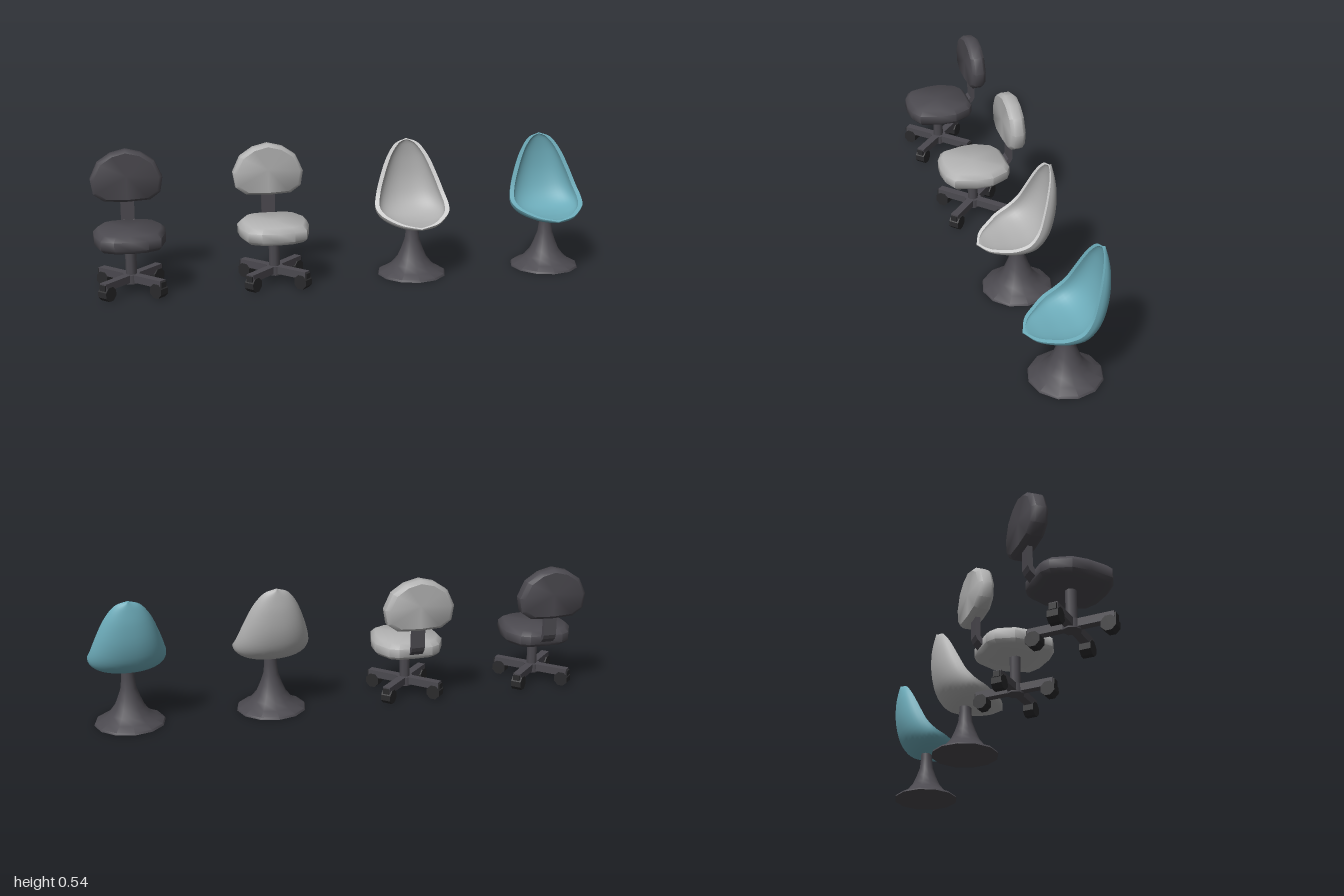
import * as THREE from 'three';
import { toCreasedNormals } from 'three/addons/utils/BufferGeometryUtils.js';

const mat = (name, color, side = THREE.FrontSide) => {
  const m = new THREE.MeshStandardMaterial({ color, side });
  m.name = name;
  return m;
};

function add(parent, name, geometry, material) {
  const mesh = new THREE.Mesh(geometry, material);
  mesh.name = name;
  parent.add(mesh);
  return mesh;
}

// Surface through rows of points; flip turns the faces over
function grid(rows, flip) {
  const n = rows[0].length, index = [];
  for (let i = 0; i < rows.length - 1; i++) {
    for (let j = 0; j < n - 1; j++) {
      const a = i * n + j, b = a + n, c = a + 1, d = b + 1;
      index.push(...(flip ? [a, c, b, c, d, b] : [a, b, c, c, b, d]));
    }
  }
  const g = new THREE.BufferGeometry();
  g.setAttribute('position', new THREE.Float32BufferAttribute(rows.flat().flatMap(p => [p.x, p.y, p.z]), 3));
  g.setIndex(index);
  g.computeVertexNormals();
  return g;
}

// Padded cushion: a mirrored half outline stacked at [height, scale] levels
function cushion(half, levels, centre = 0) {
  const ring = [...half, ...half.slice(0, -1).reverse().map(([x, z]) => [-x, z])];
  const closed = [[levels[0][0], 0], ...levels, [levels[levels.length - 1][0], 0]];
  const rows = closed.map(([h, s]) =>
    ring.map(([x, z]) => new THREE.Vector3(x * s, h, centre + (z - centre) * s)));
  return toCreasedNormals(grid(rows, true), 0.85);
}

const SEAT = [[0, 0.16], [0.065, 0.153], [0.115, 0.128], [0.138, 0.04], [0.14, -0.03], [0.105, -0.1], [0.07, -0.12], [0, -0.122]];
const BACK = [[0, 0.105], [0.09, 0.1], [0.132, 0.07], [0.142, 0.01], [0.112, -0.055], [0.06, -0.09], [0, -0.105]];

function swivelChair(fabric, metal, black) {
  const chair = new THREE.Group();
  add(chair, 'seatCushion', cushion(SEAT, [[0.19, 0.9], [0.204, 1], [0.238, 1], [0.257, 0.87]], 0.02), fabric);
  const back = cushion(BACK, [[-0.172, 0.88], [-0.157, 1], [-0.122, 1], [-0.109, 0.9]]);
  add(chair, 'backCushion', back.rotateX(Math.PI / 2).translate(0, 0.43, 0), fabric);

  // Bent bar joining the seat and the back, drawn in (z, y)
  const bar = new THREE.Shape([
    [-0.06, 0.197], [-0.115, 0.206], [-0.14, 0.232], [-0.148, 0.25], [-0.148, 0.38],
    [-0.129, 0.38], [-0.129, 0.25], [-0.112, 0.228], [-0.06, 0.225],
  ].map(([z, y]) => new THREE.Vector2(-z, y)));
  const barGeo = new THREE.ExtrudeGeometry(bar, { depth: 0.054, bevelEnabled: false });
  add(chair, 'backBar', barGeo.translate(0, 0, -0.027).rotateY(Math.PI / 2), metal);

  const base = new THREE.Group();
  base.name = 'swivelBase';
  base.position.z = 0.02;
  chair.add(base);
  add(base, 'post', new THREE.CylinderGeometry(0.022, 0.022, 0.15, 8).translate(0, 0.12, 0), metal);
  add(base, 'hub', new THREE.CylinderGeometry(0.034, 0.034, 0.036, 8).translate(0, 0.055, 0), metal);

  // Four diagonal legs, each with a caster
  for (let i = 0; i < 4; i++) {
    const leg = new THREE.Group();
    leg.name = 'leg';
    leg.rotation.y = Math.PI / 4 + i * Math.PI / 2;
    base.add(leg);
    add(leg, 'legBar', new THREE.BoxGeometry(0.15, 0.03, 0.032).translate(0.085, 0.058, 0), metal);
    add(leg, 'casterCap', new THREE.BoxGeometry(0.036, 0.022, 0.028).translate(0.148, 0.056, 0), black);
    const wheel = new THREE.CylinderGeometry(0.03, 0.03, 0.042, 8).rotateY(Math.PI / 8).rotateX(Math.PI / 2);
    add(leg, 'casterWheel', toCreasedNormals(wheel.translate(0.14, 0.029, 0), 0.3), black);
  }
  return chair;
}

// Right half of the egg's rim, and the outer midline behind it, from top to front
const curve = pts => new THREE.CatmullRomCurve3(pts.map(p => new THREE.Vector3(...p)));
const RIM = curve([
  [0, 0.536, -0.117], [0.045, 0.52, -0.11], [0.085, 0.47, -0.092], [0.12, 0.39, -0.064], [0.142, 0.325, -0.036],
  [0.152, 0.286, 0], [0.142, 0.264, 0.05], [0.114, 0.25, 0.092], [0.07, 0.238, 0.14], [0, 0.23, 0.17]]);
const SPINE = curve([
  [0, 0.536, -0.126], [0, 0.5, -0.133], [0, 0.44, -0.139], [0, 0.35, -0.131], [0, 0.27, -0.1],
  [0, 0.225, -0.05], [0, 0.212, 0.015], [0, 0.211, 0.08], [0, 0.216, 0.135], [0, 0.226, 0.171]]);

function shellRows(inner) {
  const rows = [], N = 36, M = 20, thick = 0.015;
  for (let i = 0; i <= N; i++) {
    const u = i / N, v = inner ? 0.035 + 0.93 * u : u;
    const w = Math.max(0, RIM.getPoint(u).x) * (inner ? 0.88 : 1);
    const mid = RIM.getPoint(v).setX(0);
    const deep = SPINE.getPoint(v).sub(mid);
    if (inner) deep.multiplyScalar(Math.max(0, 1 - thick / deep.length()));
    const row = [];
    for (let j = 0; j <= M; j++) {
      const t = Math.PI * j / M, c = Math.cos(t);
      const p = mid.clone().addScaledVector(deep, Math.pow(Math.max(0, Math.sin(t)), 0.9));
      row.push(p.setX(w * Math.sign(c) * Math.pow(Math.abs(c), 0.9)));
    }
    rows.push(row);
  }
  return rows;
}

function eggChair(shell, rim, metal) {
  const chair = new THREE.Group();
  const outer = shellRows(false), inner = shellRows(true);
  add(chair, 'shellOutside', grid(outer, false), shell);
  add(chair, 'shellInside', grid(inner, true), shell);

  // Lip running round the opening between the two skins
  const loop = rows => [...rows.map(r => r[0]), ...rows.map(r => r[r.length - 1]).reverse()];
  const a = loop(outer), b = loop(inner);
  const lip = a.map((p, i) => [p, b[i]]);
  add(chair, 'shellRim', grid([...lip, lip[0]], true), rim);

  // Flared pedestal
  const profile = [[0, 0], [0.14, 0], [0.136, 0.008], [0.104, 0.022], [0.08, 0.044], [0.06, 0.07],
    [0.045, 0.105], [0.031, 0.145], [0.026, 0.19], [0.025, 0.222]].map(p => new THREE.Vector2(...p));
  const pedestal = toCreasedNormals(new THREE.LatheGeometry(profile, 12), 0.7);
  add(chair, 'pedestal', pedestal.translate(0, 0, 0.005), metal);
  return chair;
}

export function createModel() {
  const metal = mat('darkGrey', 0x4b494f);
  const black = mat('black', 0x2a2a2c);
  const grey = mat('lightGrey', 0xb2b2b2, THREE.DoubleSide);
  const white = mat('paleRim', 0xd2d2d2, THREE.DoubleSide);
  const teal = mat('teal', 0x6dacba, THREE.DoubleSide);

  const model = new THREE.Group();
  model.name = 'chairs';
  const place = (name, chair, x) => {
    chair.name = name;
    chair.position.x = x;
    model.add(chair);
  };
  place('darkSwivelChair', swivelChair(metal, metal, black), -0.858);
  place('greySwivelChair', swivelChair(grey, metal, black), -0.293);
  place('greyEggChair', eggChair(grey, white, metal), 0.275);
  place('tealEggChair', eggChair(teal, teal, metal), 0.842);
  return model;
}
